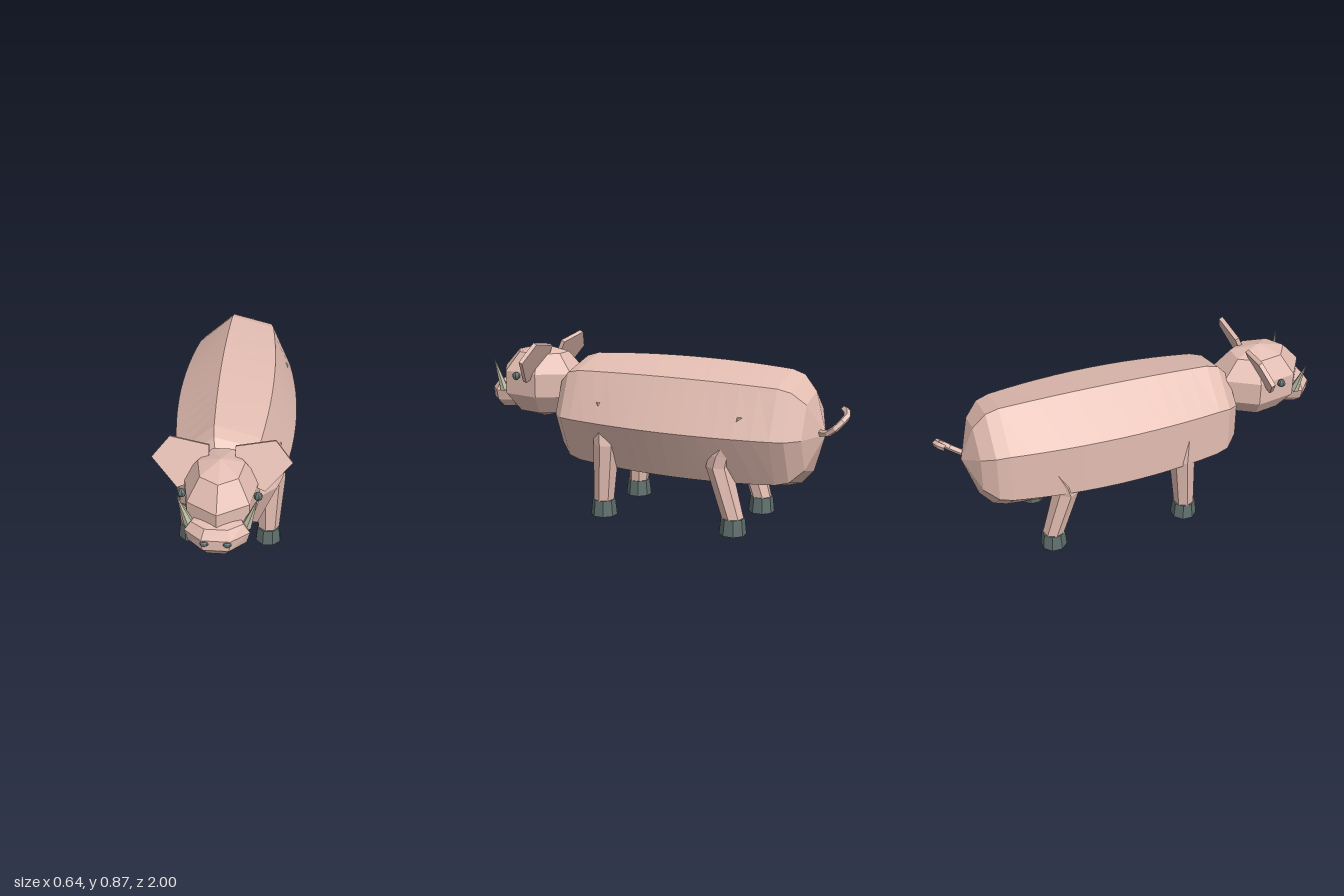
import * as THREE from 'three';

const SIDES = 7;
const mat = (color) => new THREE.MeshStandardMaterial({ color, flatShading: true });

// Skin consecutive rings of points and close both ends with fans.
function loft(rings) {
  const pos = [], idx = [], n = rings[0].length;
  rings.forEach((r) => r.forEach((p) => pos.push(...p)));
  for (let i = 0; i < rings.length - 1; i++) {
    for (let j = 0; j < n; j++) {
      const k = (j + 1) % n;
      const a = i * n + j, b = i * n + k, c = a + n, d = b + n;
      idx.push(a, b, d, a, d, c);
    }
  }
  const last = (rings.length - 1) * n;
  for (let j = 1; j < n - 1; j++) {
    idx.push(0, j + 1, j);
    idx.push(last, last + j, last + j + 1);
  }
  const g = new THREE.BufferGeometry();
  g.setAttribute('position', new THREE.Float32BufferAttribute(pos, 3));
  g.setIndex(idx);
  g.computeVertexNormals();
  return g;
}

const ring = (fn, offset = 0) =>
  Array.from({ length: SIDES }, (_, j) => fn(((j + offset) / SIDES) * Math.PI * 2));

export function createModel() {
  const pig = new THREE.Group();
  pig.name = 'pig';
  const skin = mat(0xe3bdb2), dark = mat(0x5f6f6d), ivory = mat(0xc9c8b0);

  const add = (name, geometry, material, parent = pig) => {
    const m = new THREE.Mesh(geometry, material);
    m.name = name;
    parent.add(m);
    return m;
  };

  // Barrel body: seven-sided, bulging in the middle, with rounded ends
  const sections = [[-0.735, 0.005], [-0.67, 0.68], [-0.605, 0.93]];
  for (let i = 0; i <= 12; i++) sections.push([-0.54 + 0.09 * i, 1]);
  sections.push([0.605, 0.93], [0.67, 0.68], [0.735, 0.005]);
  add('body', loft(sections.map(([d, f]) => {
    const bulge = Math.max(0, 1 - (d / 0.54) ** 2);
    const rx = f * (0.266 + 0.052 * bulge), ry = f * (0.303 + 0.02 * bulge);
    return ring((t) => [rx * Math.cos(t), 0.5 + ry * Math.sin(t), d - 0.138]);
  })), skin);

  // Head
  const head = new THREE.Group();
  head.name = 'head';
  pig.add(head);
  const skull = new THREE.SphereGeometry(1, SIDES, 5);
  skull.rotateY(Math.PI / 2).scale(0.187, 0.197, 0.25).translate(0, 0.632, 0.712);
  add('skull', skull, skin, head);

  // Snout: stacked rings [y, half width, half depth] with a flat side forward
  const snout = [
    [0.472, 0.02, 0.02], [0.488, 0.092, 0.07], [0.53, 0.135, 0.105],
    [0.583, 0.15, 0.105], [0.625, 0.12, 0.072], [0.637, 0.03, 0.02],
  ];
  add('snout', loft(snout.map(([y, rx, rz]) =>
    ring((t) => [rx * Math.sin(t), y, 0.895 + rz * Math.cos(t)], 0.5))), skin, head);

  for (const s of [1, -1]) {
    const side = s > 0 ? 'left' : 'right';

    // Nostril and eye
    const nostril = new THREE.SphereGeometry(1, 8, 6);
    nostril.scale(0.02, 0.014, 0.011).translate(s * 0.051, 0.566, 0.989);
    add(side + 'Nostril', nostril, dark, head);
    const eye = new THREE.SphereGeometry(0.021, 7, 6);
    eye.translate(s * 0.172, 0.677, 0.775);
    add(side + 'Eye', eye, dark, head);

    // Ear: thin pentagonal slab leaning back
    const lean = 0.42;
    const outline = [[0.06, 0.84], [0.06, 0.71], [0.2, 0.655], [0.32, 0.78], [0.24, 0.87]];
    const shape = new THREE.Shape(outline.map(([x, y]) =>
      new THREE.Vector2(s * x, (y - 0.75) / Math.cos(lean))));
    const ear = new THREE.ExtrudeGeometry(shape, { depth: 0.022, bevelEnabled: false });
    ear.translate(0, 0, -0.011).rotateX(-lean).translate(0, 0.75, 0.663);
    add(side + 'Ear', ear, skin, head);

    // Tusk: slim cone pointing up and out
    const base = new THREE.Vector3(s * 0.128, 0.59, 0.88);
    const axis = new THREE.Vector3(s * 0.178, 0.765, 0.906).sub(base);
    const length = axis.length();
    const cone = new THREE.ConeGeometry(0.024, length, 6);
    cone.translate(0, length / 2, 0);
    const tusk = add(side + 'Tusk', cone, ivory, head);
    tusk.position.copy(base);
    tusk.quaternion.setFromUnitVectors(new THREE.Vector3(0, 1, 0), axis.normalize());

    // Legs: path rows are [y, z, half width, half depth]
    const legs = {
      Front: [[0.075, 0.24, 0.055, 0.052], [0.38, 0.22, 0.08, 0.065], [0.6, 0.24, 0.055, 0.04]],
      Hind: [[0.075, -0.478, 0.055, 0.055], [0.34, -0.4, 0.08, 0.062],
        [0.4, -0.415, 0.08, 0.06], [0.6, -0.52, 0.055, 0.04]],
    };
    for (const [place, path] of Object.entries(legs)) {
      add(side + place + 'Leg', loft(path.map(([y, z, rx, rz]) =>
        ring((t) => [s * (0.2 + rx * Math.cos(t)), y, z - s * rz * Math.sin(t)]))), skin);
      const hoof = new THREE.CylinderGeometry(0.059, 0.068, 0.083, 8);
      hoof.rotateY(Math.PI / 8).translate(s * 0.2, 0.0415, path[0][1]);
      add(side + place + 'Hoof', hoof, dark);
    }
  }

  // Curly tail
  const curl = new THREE.CatmullRomCurve3([
    [0.02, 0.51, -0.84], [0.085, 0.53, -0.915], [0.08, 0.575, -0.962],
    [0.015, 0.612, -0.983], [-0.05, 0.622, -0.945],
  ].map((p) => new THREE.Vector3(...p)));
  add('tail', new THREE.TubeGeometry(curl, 7, 0.017, 5), skin);

  return pig;
}
